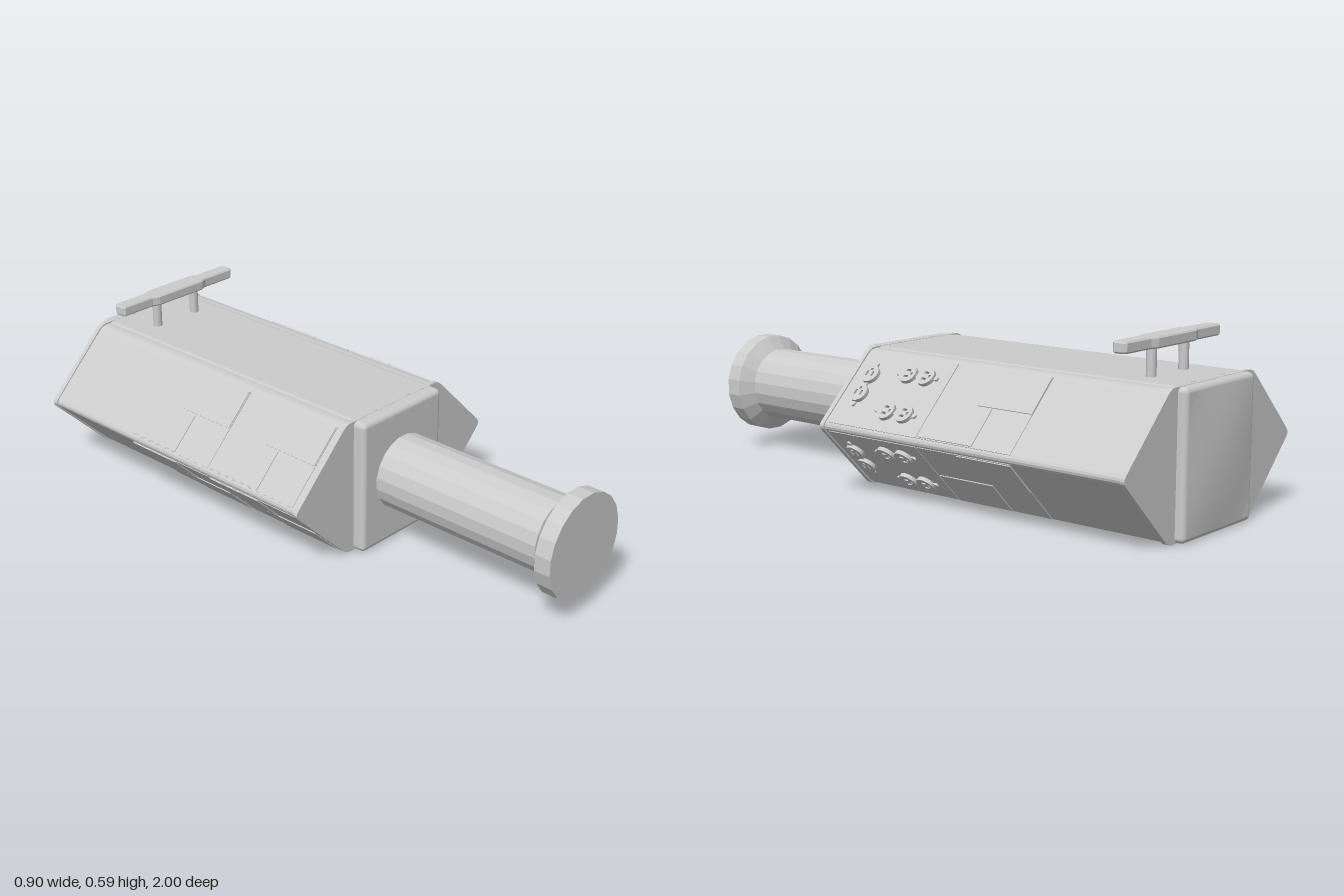
import * as THREE from 'three';
import { RoundedBoxGeometry } from 'three/addons/geometries/RoundedBoxGeometry.js';

const grey = new THREE.MeshStandardMaterial({ color: 0xcccccc });
const flat = new THREE.MeshStandardMaterial({ color: 0xcccccc, flatShading: true });
const MID = 0.232; // height of the body's axis

function add(parent, name, geometry, x = 0, y = 0, z = 0, material = flat) {
  const mesh = new THREE.Mesh(geometry, material);
  mesh.name = name;
  mesh.position.set(x, y, z);
  parent.add(mesh);
  return mesh;
}

// Six-sided cross-section with softened corners
function hexShape(inset) {
  const h = MID - inset, w = 0.456 - inset, k = 0.222 - inset * 0.4;
  const pts = [[k, h], [-k, h], [-w, 0], [-k, -h], [k, -h], [w, 0]]
    .map(([x, y]) => new THREE.Vector2(x, y));
  const shape = new THREE.Shape();
  pts.forEach((p, i) => {
    const toward = (q) => p.clone().add(q.clone().sub(p).setLength(0.022));
    const a = toward(pts[(i + 5) % 6]), b = toward(pts[(i + 1) % 6]);
    if (i === 0) shape.moveTo(a.x, a.y); else shape.lineTo(a.x, a.y);
    shape.quadraticCurveTo(p.x, p.y, b.x, b.y);
  });
  shape.closePath();
  return shape;
}

function prism(inset, depth) {
  return new THREE.ExtrudeGeometry(hexShape(inset), { depth, bevelEnabled: false, curveSegments: 4 });
}

// Group lying on a sloping face: local x along the body, y up the slope, z outward
function slopeGroup(parent, side, up) {
  const g = new THREE.Group();
  g.name = (side > 0 ? 'left' : 'right') + (up > 0 ? 'Upper' : 'Lower') + 'Face';
  const n = new THREE.Vector3(0.705 * side, 0.709 * up, 0).normalize();
  const x = new THREE.Vector3(0, 0, -side);
  const y = n.clone().cross(x);
  g.quaternion.setFromRotationMatrix(new THREE.Matrix4().makeBasis(x, y, n));
  g.position.set(0.334 * side, MID + 0.116 * up, 0);
  parent.add(g);
  return g;
}

// Double socket: two round faces with slots, joined by a strap with end tabs
function socketPair(parent, x, y, vertical) {
  const g = new THREE.Group();
  g.name = 'socketPair';
  g.position.set(x, y, 0);
  if (vertical) g.rotation.z = Math.PI / 2;
  add(g, 'socketStrap', new THREE.BoxGeometry(0.16, 0.014, 0.008), 0, 0, 0.003);
  for (const s of [-1, 1]) {
    const disc = new THREE.Shape().absarc(0, 0, 0.033, 0, Math.PI * 2);
    for (const [hx, hy, w, h] of [[0, 0.012, 0.009, 0.004], [0, -0.012, 0.009, 0.004], [0.017, 0, 0.004, 0.005]]) {
      const hole = new THREE.Path();
      hole.moveTo(hx - w, hy - h).lineTo(hx - w, hy + h).lineTo(hx + w, hy + h).lineTo(hx + w, hy - h);
      hole.closePath();
      disc.holes.push(hole);
    }
    add(g, 'socketFace', new THREE.ExtrudeGeometry(disc, { depth: 0.015, bevelEnabled: false, curveSegments: 10 }), s * 0.038);
    const tab = add(g, 'socketScrew', new THREE.CylinderGeometry(0.008, 0.008, 0.01, 8), s * 0.08, 0, 0.004);
    tab.rotation.x = Math.PI / 2;
  }
  parent.add(g);
}

export function createModel() {
  const model = new THREE.Group();
  model.name = 'cameraHousing';

  // Six-sided body with slightly larger end rims
  add(model, 'body', prism(0.005, 1.17), 0, MID, -0.94);
  for (const z of [-0.955, 0.225]) add(model, 'endRim', prism(0, 0.017), 0, MID, z);

  // Central core showing as rounded caps at both ends, bulging at the back
  const core = new RoundedBoxGeometry(0.378, 0.462, 1.27, 3, 0.018);
  add(model, 'core', core, 0, MID, -0.35, grey);
  const bulge = new THREE.PlaneGeometry(0.345, 0.428, 8, 8);
  const p = bulge.attributes.position;
  for (let i = 0; i < p.count; i++) {
    const u = p.getX(i) / 0.1725, v = p.getY(i) / 0.214;
    p.setZ(i, 0.015 * (1 - u * u) * (1 - v * v));
  }
  bulge.computeVertexNormals();
  add(model, 'backBulge', bulge, 0, MID, -0.985, grey).rotation.y = Math.PI;

  // Cap screws
  for (const x of [-0.08, 0.08]) for (const z of [-0.935, 0.23]) {
    add(model, 'capScrew', new THREE.CylinderGeometry(0.007, 0.007, 0.003, 8), x, 0.4645, z);
  }

  // Lens barrel with a flared hood
  const profile = [[0, 0.27], [0.128, 0.27], [0.128, 0.91], [0.175, 0.943], [0.175, 1], [0, 1]]
    .map(([r, z]) => new THREE.Vector2(r, z));
  const lens = add(model, 'lensBarrel', new THREE.LatheGeometry(profile, 20, Math.PI / 20), 0, 0.235, 0);
  lens.rotation.x = Math.PI / 2;

  // Carrying handle on two posts, thicker at the middle
  const bar = new THREE.Shape();
  const half = [[-0.256, 0.015], [-0.248, 0.023], [-0.125, 0.023], [-0.1, 0.033], [0.1, 0.033], [0.125, 0.023], [0.248, 0.023], [0.256, 0.015]];
  const outline = [...half, ...half.map(([x, y]) => [-x, -y])].map(([x, y]) => new THREE.Vector2(x, y));
  bar.setFromPoints(outline.reverse());
  const handle = add(model, 'handleBar', new THREE.ExtrudeGeometry(bar,
    { depth: 0.026, bevelSize: 0.004, bevelThickness: 0.005, bevelOffset: -0.002, bevelSegments: 1 }), 0, 0.556, -0.793);
  handle.rotation.x = -Math.PI / 2;
  for (const x of [-0.087, 0.087]) {
    add(model, 'handlePost', new THREE.CylinderGeometry(0.016, 0.016, 0.1, 12), x, 0.51, -0.793, grey);
  }

  // Sloping faces: cover sheets, access panels, and sockets on one side
  for (const side of [-1, 1]) for (const up of [-1, 1]) {
    const face = slopeGroup(model, side, up);
    const plate = (name, z0, z1, v, h, t) =>
      add(face, name, new THREE.BoxGeometry(z1 - z0, h, t), -side * (z0 + z1) / 2, v, 0);
    plate('coverSheet', -0.54, -0.172, 0, 0.29, 0.004);
    plate('coverSheet', -0.165, 0.212, 0, 0.29, 0.004);
    // side +1 has its rear panel on the higher half, side -1 on the outer half
    const high = side > 0 ? 0.072 : -0.072 * up;
    plate('accessPanel', -0.54, -0.33, high, 0.138, 0.01);
    plate('accessPanel', -0.39, -0.175, -high, 0.138, 0.01);
    if (side < 0) {
      plate('accessPanel', -0.162, 0.055, high, 0.138, 0.01);
      plate('accessPanel', -0.005, 0.21, -high, 0.138, 0.01);
    } else {
      socketPair(face, 0.038, 0.075, false);
      socketPair(face, 0.038, -0.072, false);
      socketPair(face, -0.152, 0.015, true);
    }
  }

  // Tripod mount underneath
  add(model, 'tripodMount', new THREE.CylinderGeometry(0.05, 0.05, 0.008, 20), 0, 0.004, -0.36);
  return model;
}
